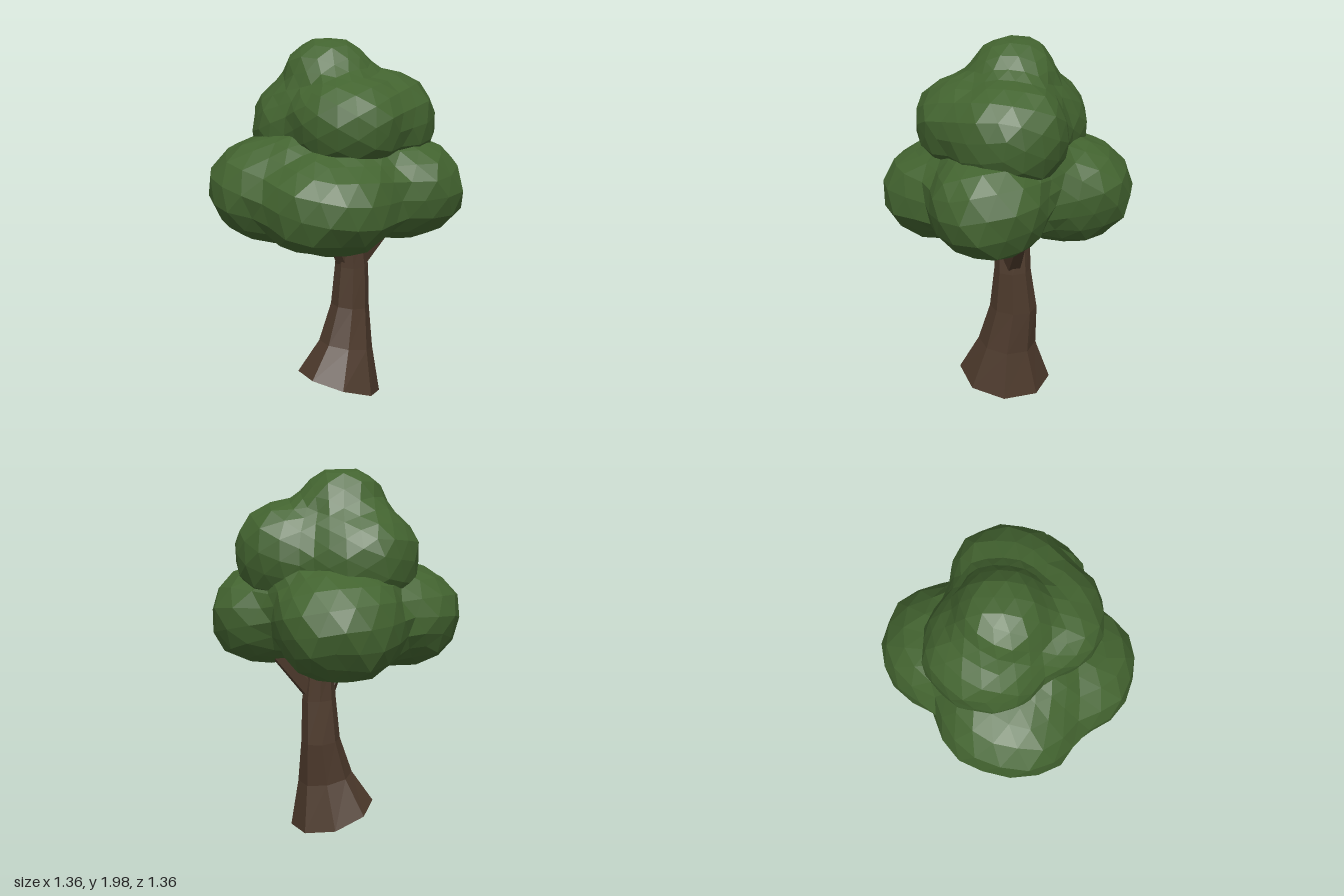
import * as THREE from 'three';

const SIDES = 8;

// Repeatable noise in -1..1 from a point, so shared corners move together
function noise(v, seed) {
  const k = (n) => Math.round(n * 1000) / 1000;
  const s = Math.sin(k(v.x) * 127.1 + k(v.y) * 311.7 + k(v.z) * 74.7 + seed * 19.3) * 43758.5453;
  return (s - Math.floor(s)) * 2 - 1;
}

// Distance to lobes melted together; each lobe is { c: centre, r: radii }
function lobeField(x, y, z, lobes) {
  const P = 2.2;
  const K = 0.022;
  let sum = 0;
  for (const { c, r } of lobes) {
    const q = Math.abs((x - c[0]) / r[0]) ** P + Math.abs((y - c[1]) / r[1]) ** P + Math.abs((z - c[2]) / r[2]) ** P;
    sum += Math.exp(-((q ** (1 / P) - 1) * Math.min(...r)) / K);
  }
  return -K * Math.log(sum);
}

// Faceted leaf mass: a sphere shrunk from outside onto the melted lobes
function leafMass([cx, cy, cz], lobes, detail, seed) {
  const geo = new THREE.IcosahedronGeometry(1, detail);
  geo.rotateY(seed * 1.3);
  geo.rotateX(seed * 0.7);
  const pos = geo.attributes.position;
  const v = new THREE.Vector3();
  for (let i = 0; i < pos.count; i++) {
    v.fromBufferAttribute(pos, i);
    let t = 0.9;
    while (t > 0.1 && lobeField(cx + v.x * t, cy + v.y * t, cz + v.z * t, lobes) > 0) t -= 0.004;
    t *= 1.012 + 0.022 * noise(v, seed);
    pos.setXYZ(i, cx + v.x * t, cy + v.y * t, cz + v.z * t);
  }
  geo.computeVertexNormals();
  return geo;
}

// Open faceted loft; each ring is [cx, cy, cz, rx, rz, slopeX, slopeZ]
function loft(rings) {
  const pts = [];
  const index = [];
  for (const [cx, cy, cz, rx, rz, sx, sz] of rings) {
    for (let j = 0; j < SIDES; j++) {
      const a = (j / SIDES) * Math.PI * 2;
      const dx = Math.cos(a) * rx;
      const dz = Math.sin(a) * rz;
      pts.push(cx + dx, Math.max(0, cy + dx * sx + dz * sz), cz + dz);
    }
  }
  for (let i = 0; i < (rings.length - 1) * SIDES; i += SIDES) {
    for (let j = 0; j < SIDES; j++) {
      const k = (j + 1) % SIDES;
      index.push(i + j, i + SIDES + j, i + k, i + k, i + SIDES + j, i + SIDES + k);
    }
  }
  const geo = new THREE.BufferGeometry();
  geo.setAttribute('position', new THREE.Float32BufferAttribute(pts, 3));
  geo.setIndex(index);
  const flat = geo.toNonIndexed();
  flat.computeVertexNormals();
  return flat;
}

// Tapered five-sided limb between two points
function limb(from, to, r0, r1) {
  const a = new THREE.Vector3(...from);
  const b = new THREE.Vector3(...to);
  const dir = b.clone().sub(a);
  const geo = new THREE.CylinderGeometry(r1, r0, dir.length(), 5).toNonIndexed();
  geo.applyQuaternion(new THREE.Quaternion().setFromUnitVectors(new THREE.Vector3(0, 1, 0), dir.normalize()));
  geo.translate((a.x + b.x) / 2, (a.y + b.y) / 2, (a.z + b.z) / 2);
  geo.computeVertexNormals();
  return geo;
}

export function createModel() {
  const tree = new THREE.Group();
  tree.name = 'tree';
  // The hollow trunk shows its inside from below
  const bark = new THREE.MeshStandardMaterial({ color: 0x4d3a2c, side: THREE.DoubleSide });
  bark.name = 'bark brown';
  const leaf = new THREE.MeshStandardMaterial({ color: 0x436430 });
  leaf.name = 'leaf green';

  const add = (name, geo, mat) => {
    const mesh = new THREE.Mesh(geo, mat);
    mesh.name = name;
    tree.add(mesh);
  };

  // Trunk flares into a slanted foot
  add('trunk', loft([
    [0.02, 0.06, 0.015, 0.23, 0.255, -0.3, 0.12],
    [0.06, 0.28, 0.0, 0.15, 0.16, -0.15, 0.08],
    [0.087, 0.5, -0.035, 0.107, 0.13, -0.08, 0.04],
    [0.095, 0.73, -0.03, 0.093, 0.1, -0.05, 0],
    [0.09, 0.9, -0.03, 0.075, 0.095, 0, 0],
  ]), bark);

  // Forked branches
  add('leftBranch', limb([0.14, 0.78, -0.03], [0.36, 1.04, -0.08], 0.055, 0.042), bark);
  add('rightBranch', limb([0.05, 0.77, 0.0], [-0.07, 1.04, 0.11], 0.05, 0.038), bark);

  // Broad lower crown: right, front, back, left and core lobes
  add('lowerCrown', leafMass([0, 1.2, 0], [
    { c: [-0.32, 1.19, 0.03], r: [0.365, 0.28, 0.38] },
    { c: [-0.06, 1.15, 0.32], r: [0.37, 0.26, 0.345] },
    { c: [0.0, 1.17, -0.33], r: [0.34, 0.285, 0.335] },
    { c: [0.36, 1.19, 0.09], r: [0.32, 0.27, 0.31] },
    { c: [0.0, 1.33, 0.0], r: [0.42, 0.24, 0.42] },
  ], 5, 1), leaf);

  // Upper crown: right, left and front lobes under a rounded top
  add('upperCrown', leafMass([0.02, 1.58, 0], [
    { c: [-0.11, 1.51, -0.1], r: [0.33, 0.29, 0.33] },
    { c: [0.25, 1.54, -0.01], r: [0.285, 0.28, 0.31] },
    { c: [0.05, 1.56, 0.2], r: [0.3, 0.24, 0.285] },
    { c: [-0.03, 1.72, -0.03], r: [0.25, 0.27, 0.25] },
  ], 4, 2), leaf);

  return tree;
}
